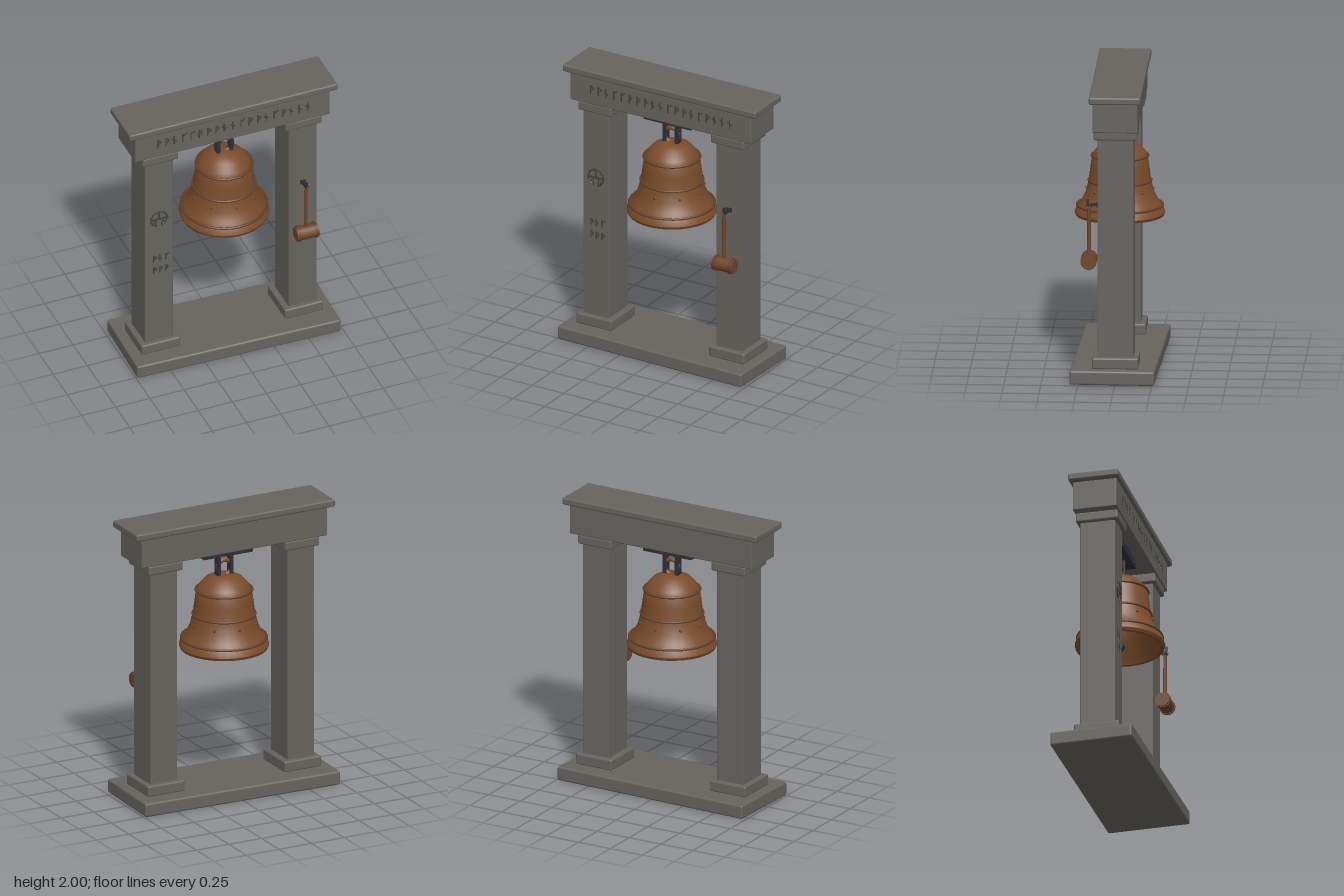
import * as THREE from 'three';
import { toCreasedNormals } from 'three/addons/utils/BufferGeometryUtils.js';
import { RoundedBoxGeometry } from 'three/addons/geometries/RoundedBoxGeometry.js';

export function createModel() {
  const root = new THREE.Group();
  root.name = 'bellGate';
  const mat = (name, color) => {
    const m = new THREE.MeshStandardMaterial({ color });
    m.name = name;
    return m;
  };
  const stone = mat('stone', 0x67645f);
  const carved = mat('carvedStone', 0x45433f);
  const bronze = mat('bronze', 0x7a4c2b);
  const darkBronze = mat('darkBronze', 0x64402a);
  const wood = mat('wood', 0x70462a);
  const iron = mat('iron', 0x2f2f37);

  const add = (name, geo, m, x = 0, y = 0, z = 0, parent = root) => {
    const mesh = new THREE.Mesh(geo, m);
    mesh.name = name;
    mesh.position.set(x, y, z);
    parent.add(mesh);
    return mesh;
  };
  const box = (w, h, d) => new THREE.BoxGeometry(w, h, d);
  // Stone block given by its bottom and top heights
  const block = (name, x, y0, y1, w, d, r = 0.012) =>
    add(name, new RoundedBoxGeometry(w, y1 - y0, d, 2, r), stone, x, (y0 + y1) / 2, 0);

  // Stone frame; the base slab sits slightly askew
  block('baseSlab', 0, 0, 0.098, 1.475, 0.575, 0.014).rotation.y = -0.027;
  for (const s of [-1, 1]) {
    block('plinth', s * 0.524, 0.095, 0.173, 0.282, 0.312);
    block('column', s * 0.526, 0.165, 1.69, 0.206, 0.244, 0.006);
    block('capital', s * 0.524, 1.68, 1.747, 0.264, 0.294);
  }
  block('lintel', 0, 1.745, 1.955, 1.426, 0.306, 0.008);
  block('capstone', 0, 1.95, 2.0, 1.522, 0.35);

  // Carved notches: an upright cut with slanted side cuts
  const notch = (x, y, z, h, kind) => {
    const g = new THREE.Group();
    g.name = 'carvedNotch';
    g.position.set(x, y, z);
    root.add(g);
    const t = 0.009;
    add('uprightCut', box(t, h, 0.006), carved, 0, 0, 0, g);
    if (kind === 0) {
      add('slantCut', box(t, h * 0.5, 0.006), carved, 0.013, h * 0.3, 0, g).rotation.z = 0.8;
      add('shortCut', box(t, h * 0.4, 0.006), carved, 0.014, h * 0.02, 0, g).rotation.z = -0.8;
    } else if (kind === 1) {
      add('slantCut', box(t, h * 0.6, 0.006), carved, 0, 0, 0, g).rotation.z = 1.0;
    } else {
      add('slantCut', box(t, h * 0.55, 0.006), carved, 0.014, h * 0.35, 0, g).rotation.z = -1.0;
    }
  };
  const kinds = [0, 0, 1, 2, 2, 0, 0, 0, 1, 1, 2, 0, 0, 1, 2, 0, 1, 1, 1];
  kinds.forEach((k, i) => notch(-0.55 + i * 0.061, 1.857, 0.154, 0.066, k));
  for (let row = 0; row < 2; row++)
    for (let i = 0; i < 3; i++)
      notch(-0.565 + i * 0.043, 0.863 - row * 0.095, 0.123, 0.052, row ? 0 : i);

  // Wheel ornament on the right column
  const wheel = new THREE.Group();
  wheel.name = 'wheelOrnament';
  wheel.position.set(-0.527, 1.195, 0.123);
  root.add(wheel);
  const arc = (a0, a1) => {
    const geo = new THREE.TorusGeometry(0.059, 0.006, 5, 14, a1 - a0);
    add('wheelArc', geo, carved, 0, 0, 0, wheel).rotation.z = a0;
  };
  arc(0.15, Math.PI - 0.15);
  arc(Math.PI + 0.15, Math.PI * 1.4);
  arc(Math.PI * 1.6, Math.PI * 2 - 0.15);
  add('wheelBar', box(0.132, 0.016, 0.01), carved, 0, 0, 0, wheel);
  add('wheelSpoke', box(0.01, 0.06, 0.008), carved, 0, 0.03, 0, wheel);
  for (const s of [-1, 1]) {
    add('wheelSlant', box(0.009, 0.05, 0.008), carved, s * 0.025, -0.015, 0, wheel).rotation.z = s * 0.8;
    add('wheelFoot', box(0.009, 0.035, 0.008), carved, s * 0.02, -0.045, 0, wheel);
  }

  // Bell: inner wall down, round the lip, outer wall up
  const profile = [
    [0, 1.5], [0.11, 1.48], [0.165, 1.42], [0.185, 1.26], [0.215, 1.15], [0.262, 1.06], [0.275, 1.02],
    [0.298, 1.02], [0.307, 1.04], [0.292, 1.085], [0.262, 1.12], [0.232, 1.18], [0.212, 1.26],
    [0.2, 1.35], [0.19, 1.43], [0.172, 1.465], [0.13, 1.512], [0.075, 1.54], [0, 1.548],
  ].map(([r, y]) => new THREE.Vector2(r, y));
  add('bell', toCreasedNormals(new THREE.LatheGeometry(profile, 32), 0.7), bronze);
  for (const [r, y, t] of [[0.191, 1.433, 0.009], [0.213, 1.262, 0.008], [0.29, 1.092, 0.009]])
    add('bellBand', new THREE.TorusGeometry(r, t, 8, 32), darkBronze, 0, y, 0).rotation.x = Math.PI / 2;
  for (let i = 0; i < 8; i++) {
    const a = i * Math.PI / 4;
    add('bellStud', new THREE.SphereGeometry(0.011, 8, 6), darkBronze,
      Math.sin(a) * 0.223, 1.205, Math.cos(a) * 0.223);
  }

  // Clapper
  add('clapperRod', new THREE.CylinderGeometry(0.01, 0.01, 0.45, 8), iron, 0, 1.26, 0);
  add('clapperBall', new THREE.SphereGeometry(0.034, 14, 10), iron, 0, 1.027, 0);

  // Hanger: plate, bolts, straps and crown ring
  add('hangerPlate', box(0.375, 0.056, 0.13), iron, 0, 1.718, 0);
  for (const s of [-1, 1]) {
    for (const f of [-1, 1])
      add('hangerBolt', new THREE.CylinderGeometry(0.012, 0.012, 0.012, 8), iron,
        s * 0.152, 1.716, f * 0.067).rotation.x = Math.PI / 2;
    add('hangerStrap', box(0.024, 0.16, 0.05), iron, s * 0.048, 1.62, 0);
    const clasp = add('ringClasp', new THREE.TorusGeometry(0.055, 0.018, 8, 10, 1.7), iron, 0, 1.588, 0);
    clasp.rotation.z = (s > 0 ? 0 : Math.PI) - 0.85;
  }
  add('crownRing', new THREE.TorusGeometry(0.055, 0.016, 8, 24), bronze, 0, 1.588, 0);

  // Mallet hanging on the left column
  const mallet = new THREE.Group();
  mallet.name = 'mallet';
  mallet.position.set(0.526, 0.823, 0.184);
  root.add(mallet);
  const across = (name, r, len, x, m) => {
    const geo = new THREE.CylinderGeometry(r, r, len, 14);
    add(name, geo, m, x, 0, 0, mallet).rotation.z = Math.PI / 2;
  };
  across('malletHead', 0.05, 0.158, 0, wood);
  for (const s of [-1, 1]) across('malletBand', 0.056, 0.014, s * 0.06, darkBronze);
  add('malletHandle', new THREE.CylinderGeometry(0.012, 0.015, 0.34, 8), wood, -0.004, 0.19, 0, mallet);
  add('malletLoop', new THREE.TorusGeometry(0.018, 0.005, 6, 14), wood, 0, 0.372, 0, mallet).rotation.y = Math.PI / 2;

  // Hook in the left column
  add('hookPlate', box(0.04, 0.03, 0.012), iron, 0.526, 1.205, 0.126);
  add('hookArm', box(0.018, 0.02, 0.08), iron, 0.526, 1.205, 0.158);
  add('hookTip', box(0.014, 0.046, 0.014), iron, 0.526, 1.222, 0.192);

  return root;
}
